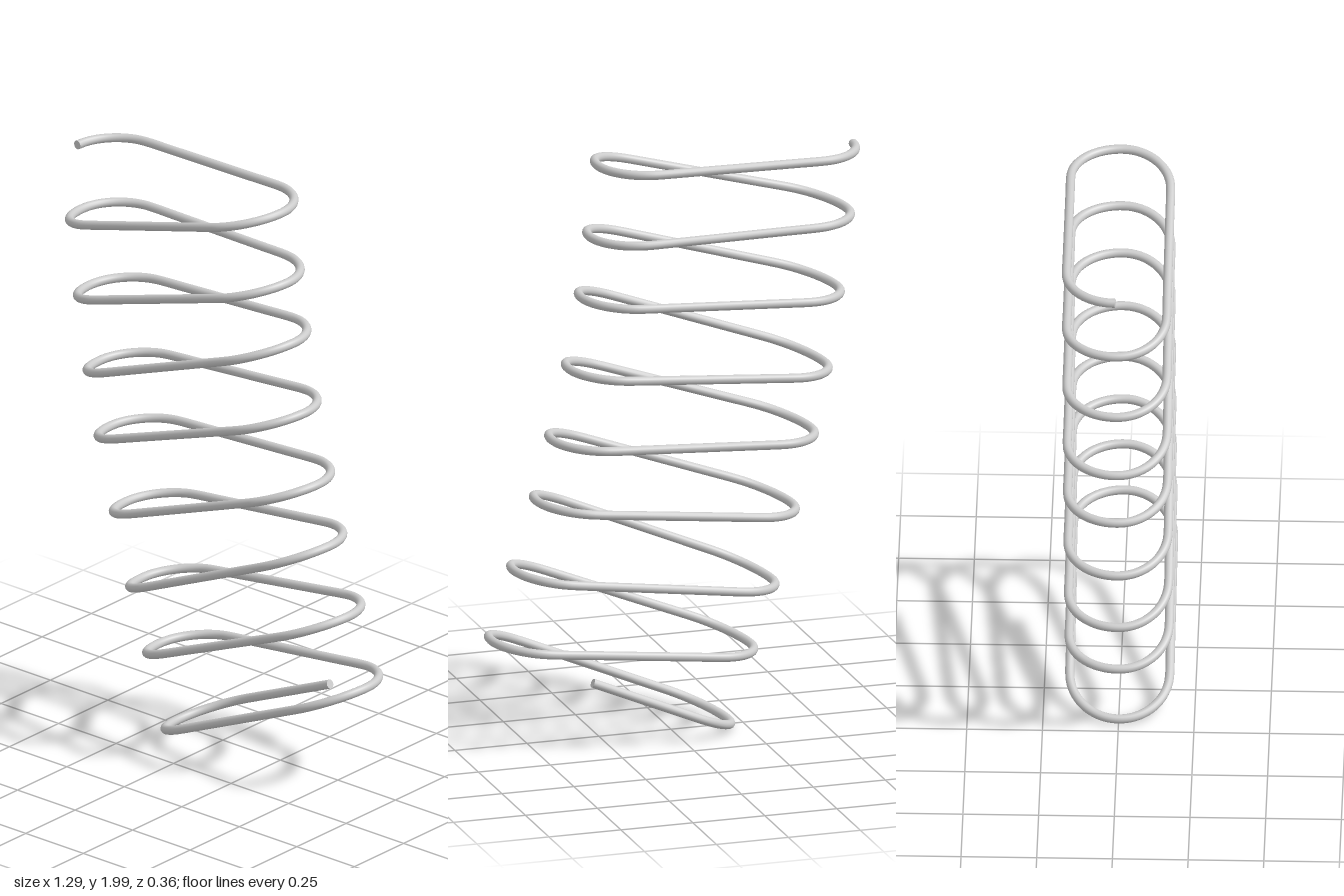
import * as THREE from 'three';

const WIRE = 0.0152; // wire radius
const BEND = 0.165;  // radius of the half-round bends

// Tips of the coil [x, y], from bottom to top: the right and left extremes of each turn
const leftTips = [[-0.199, 0.02], [-0.279, 0.273], [-0.353, 0.489], [-0.424, 0.743], [-0.49, 0.998],
  [-0.538, 1.22], [-0.58, 1.481], [-0.615, 1.746], [-0.633, 1.972]];
const rightTips = [[0.625, 0.375], [0.548, 0.611], [0.469, 0.844], [0.416, 1.05],
  [0.358, 1.291], [0.313, 1.532], [0.284, 1.74], [0.257, 1.984]];

// Half a turn: quarter bend, straight run, quarter bend; height is linear in x
function halfTurn(a, b, zSide, points) {
  const dir = Math.sign(b[0] - a[0]);
  const add = (x, z) => {
    const t = (x - a[0]) / (b[0] - a[0]);
    points.push(new THREE.Vector3(x, a[1] + (b[1] - a[1]) * t, z));
  };
  const steps = 8, runs = 6;
  for (let i = 0; i < steps; i++) {
    const ang = (i / steps) * Math.PI / 2;
    add(a[0] + dir * BEND * (1 - Math.cos(ang)), zSide * BEND * Math.sin(ang));
  }
  const s = a[0] + dir * BEND, e = b[0] - dir * BEND;
  for (let i = 0; i < runs; i++) add(s + (e - s) * i / runs, zSide * BEND);
  for (let i = 0; i < steps; i++) {
    const ang = (1 - i / steps) * Math.PI / 2;
    add(b[0] - dir * BEND * (1 - Math.cos(ang)), zSide * BEND * Math.sin(ang));
  }
}

function coilPath() {
  const points = [];
  // Loose tail at the back, running down into the first bend
  const [x0, y0] = leftTips[0];
  const slope = (rightTips[0][1] - y0) / (rightTips[0][0] - x0);
  const tailEnd = 0.325, bendX = x0 + BEND;
  for (let i = 0; i < 5; i++) {
    const x = tailEnd + (bendX - tailEnd) * i / 5;
    points.push(new THREE.Vector3(x, y0 + slope * (x - x0), -BEND));
  }
  for (let i = 0; i < 8; i++) {
    const ang = (1 - i / 8) * Math.PI / 2;
    const x = x0 + BEND * (1 - Math.cos(ang));
    points.push(new THREE.Vector3(x, y0 + slope * (x - x0), -BEND * Math.sin(ang)));
  }
  // Steep runs in front, shallow runs at the back
  rightTips.forEach((tip, i) => {
    halfTurn(leftTips[i], tip, 1, points);
    halfTurn(tip, leftTips[i + 1], -1, points);
  });
  const last = leftTips[leftTips.length - 1];
  points.push(new THREE.Vector3(last[0], last[1], 0));
  const curve = new THREE.CatmullRomCurve3(points, false, 'centripetal');
  curve.arcLengthDivisions = 4000;
  return curve;
}

export function createModel() {
  const group = new THREE.Group();
  group.name = 'coilSpring';
  const material = new THREE.MeshStandardMaterial({ color: 0xcccccc });
  const path = coilPath();

  const wire = new THREE.Mesh(new THREE.TubeGeometry(path, 1600, WIRE, 14, false), material);
  wire.name = 'springWire';
  group.add(wire);

  // Flat cut faces at both ends of the wire
  for (const [t, sign, name] of [[0, -1, 'lowerWireEnd'], [1, 1, 'upperWireEnd']]) {
    const cap = new THREE.Mesh(new THREE.CircleGeometry(WIRE, 14), material);
    const normal = path.getTangentAt(t).multiplyScalar(sign);
    cap.position.copy(path.getPointAt(t));
    cap.quaternion.setFromUnitVectors(new THREE.Vector3(0, 0, 1), normal);
    cap.name = name;
    group.add(cap);
  }
  return group;
}
